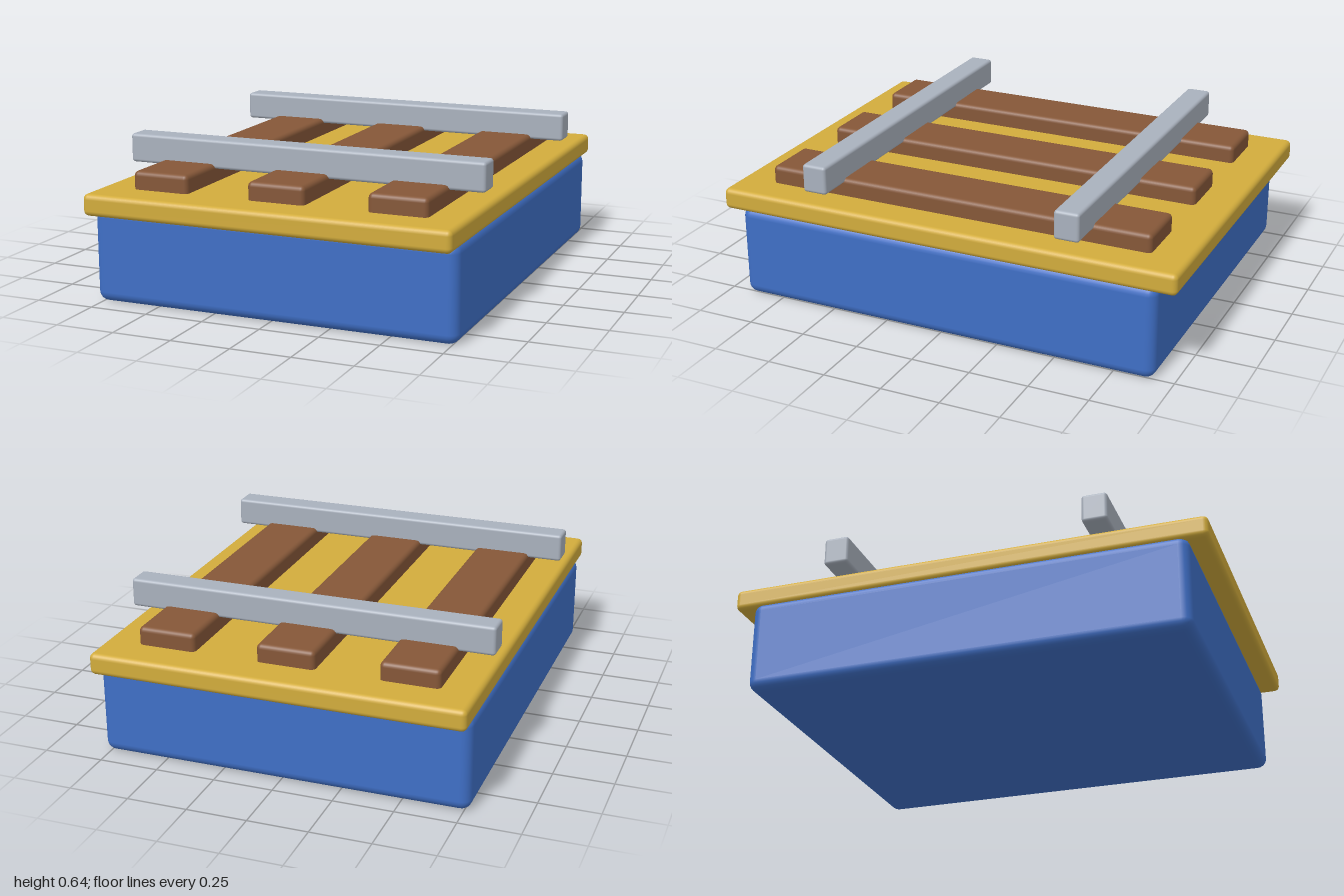
import * as THREE from 'three';
import { RoundedBoxGeometry } from 'three/addons/geometries/RoundedBoxGeometry.js';

const material = (name, color) => {
  const m = new THREE.MeshStandardMaterial({ color });
  m.name = name;
  return m;
};

export function createModel() {
  const group = new THREE.Group();
  group.name = 'slattedPlatform';

  const blue = material('blue', 0x3f6fc6);
  const ochre = material('ochre', 0xd2ac3c);
  const brown = material('brown', 0x855738);
  const grey = material('grey', 0xa9b1bd);

  // Rounded block spanning y0..y1, centred at (x, z)
  const block = (name, mat, w, y0, y1, d, r, x = 0, z = 0) => {
    const mesh = new THREE.Mesh(new RoundedBoxGeometry(w, y1 - y0, d, 3, r), mat);
    mesh.name = name;
    mesh.position.set(x, (y0 + y1) / 2, z);
    group.add(mesh);
  };

  // Body and overhanging deck
  block('base', blue, 1.55, 0, 0.395, 1.84, 0.042);
  block('deck', ochre, 1.55, 0.375, 0.465, 2, 0.022);

  // Lengthwise slats
  for (const x of [-0.507, 0, 0.507]) {
    block('slat', brown, 0.244, 0.42, 0.54, 1.69, 0.02, x);
  }

  // Crosswise rails
  for (const z of [-0.553, 0.553]) {
    block('rail', grey, 1.55, 0.52, 0.64, 0.106, 0.013, 0, z);
  }

  return group;
}
